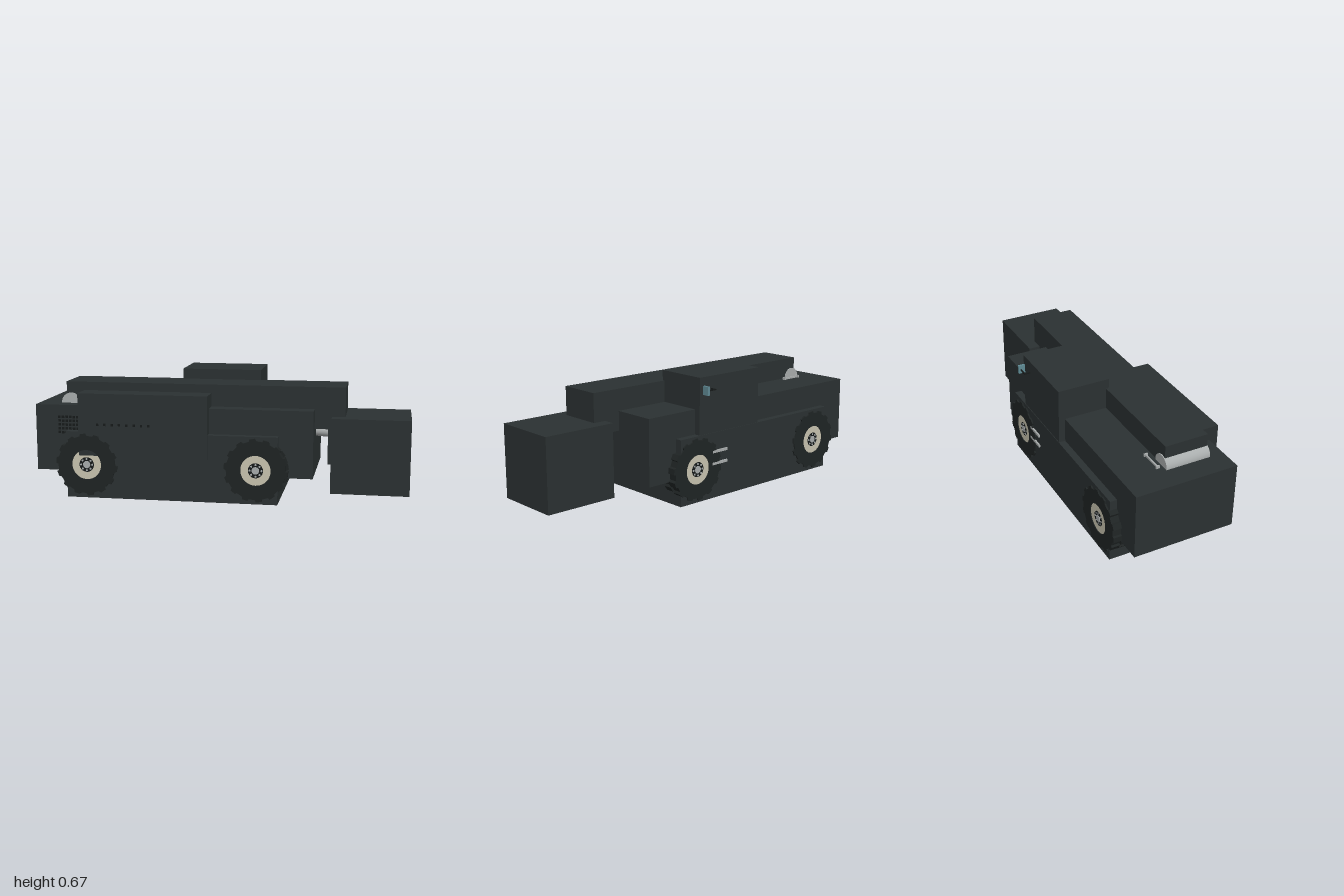
import * as THREE from 'three';

const paint = (color, extra = {}) => new THREE.MeshStandardMaterial({ color, ...extra });
const body = paint(0x2b3132);
const rubber = paint(0x1f2424, { flatShading: true });
const dark = paint(0x161a1a);
const cream = paint(0xc9c4b0);
const steel = paint(0xa9adad);
const glass = paint(0x5f8a94);

function add(parent, name, geometry, material, x = 0, y = 0, z = 0) {
  const mesh = new THREE.Mesh(geometry, material);
  mesh.name = name;
  mesh.position.set(x, y, z);
  parent.add(mesh);
  return mesh;
}

// Box given by its limits on each axis
function block(parent, name, x0, x1, y0, y1, z0, z1, material = body) {
  return add(parent, name, new THREE.BoxGeometry(x1 - x0, y1 - y0, z1 - z0), material,
    (x0 + x1) / 2, (y0 + y1) / 2, (z0 + z1) / 2);
}

// Cylinder along z, between z0 and z1
function drum(parent, name, r, z0, z1, material, x = 0, y = 0, sides = 32) {
  const geometry = new THREE.CylinderGeometry(r, r, z1 - z0, sides).rotateX(Math.PI / 2);
  return add(parent, name, geometry, material, x, y, (z0 + z1) / 2);
}

// Half of a lugged tyre, as a toothed ring
function treadGeometry(depth, turn) {
  const teeth = 14, shape = new THREE.Shape();
  for (let i = 0; i < teeth; i++) {
    [[0, 0.157], [0.45, 0.157], [0.55, 0.17], [0.95, 0.168]].forEach(([t, r], k) => {
      const a = ((i + t + turn) / teeth) * Math.PI * 2;
      shape[i + k ? 'lineTo' : 'moveTo'](Math.cos(a) * r, Math.sin(a) * r);
    });
  }
  shape.closePath();
  const hole = new THREE.Path();
  hole.absarc(0, 0, 0.08, 0, Math.PI * 2, true);
  shape.holes.push(hole);
  return new THREE.ExtrudeGeometry(shape, { depth, bevelEnabled: false, curveSegments: 24 });
}

// Wheel with its outer face at z = 0, facing +z
function makeWheel(name) {
  const wheel = new THREE.Group();
  wheel.name = name;
  add(wheel, 'outerTread', treadGeometry(0.047, 0), rubber, 0, 0, -0.047);
  add(wheel, 'innerTread', treadGeometry(0.047, 0.5), rubber, 0, 0, -0.094);
  drum(wheel, 'rim', 0.081, -0.09, -0.004, cream);
  drum(wheel, 'hubPlate', 0.04, -0.05, -0.003, dark);
  drum(wheel, 'hubCap', 0.02, -0.05, -0.001, steel);
  for (let i = 0; i < 8; i++) {
    const a = (i / 8) * Math.PI * 2;
    drum(wheel, 'wheelNut', 0.006, -0.02, -0.001, steel, Math.cos(a) * 0.031, Math.sin(a) * 0.031, 6);
  }
  return wheel;
}

export function createModel() {
  const model = new THREE.Group();
  model.name = 'lowMiningVehicle';

  // Body blocks
  block(model, 'chassis', -0.82, 0.32, 0, 0.36, -0.303, 0.335);
  block(model, 'hull', -1, 0.5, 0.137, 0.495, -0.265, 0.293);
  block(model, 'boom', -0.85, 0.66, 0.39, 0.612, -0.025, 0.213);
  block(model, 'cab', -0.25, 0.185, 0.34, 0.667, -0.3, -0.01);
  block(model, 'sideHousing', -0.75, -0.05, 0.232, 0.567, 0.2, 0.342);

  // Working head and its coupling
  block(model, 'head', 0.59, 1, 0.06, 0.457, -0.09, 0.28);
  block(model, 'headPlate', 0.57, 0.592, 0.2, 0.44, -0.03, 0.21);
  const ram = add(model, 'ram', new THREE.CylinderGeometry(0.029, 0.029, 0.16, 24), steel, 0.51, 0.36, 0.09);
  ram.rotation.z = Math.PI / 2 - 0.07;

  // Wheels, right side turned around
  for (const [end, x] of [['front', 0.205], ['rear', -0.708]]) {
    for (const [side, z, turn] of [['Left', 0.344, 0], ['Right', -0.311, Math.PI]]) {
      const wheel = makeWheel(`${end}${side}Wheel`);
      wheel.position.set(x, 0.182, z);
      wheel.rotation.y = turn;
      model.add(wheel);
    }
  }

  // Cable roller and guide rod
  drum(model, 'roller', 0.054, -0.03, 0.216, steel, -0.825, 0.497);
  block(model, 'guideRod', -0.84, -0.73, 0.496, 0.506, -0.064, -0.056, steel);
  for (const x of [-0.845, -0.73]) block(model, 'rodEnd', x - 0.004, x + 0.004, 0.49, 0.51, -0.07, -0.05, steel);

  // Grille and side vents
  for (let i = 0; i < 7; i++) {
    for (let j = 0; j < 5; j++) {
      const x = -0.875 + i * 0.02, y = 0.34 + j * 0.021;
      block(model, 'grilleCell', x, x + 0.013, y, y + 0.013, 0.285, 0.297, dark);
    }
  }
  for (let i = 0; i < 8; i++) {
    const x = -0.65 + i * 0.04;
    block(model, 'vent', x, x + 0.012, 0.395, 0.408, 0.335, 0.346, dark);
  }

  // Mirror and cab steps
  block(model, 'mirror', 0.155, 0.168, 0.576, 0.623, -0.343, -0.306, glass);
  block(model, 'mirrorArm', 0.1, 0.156, 0.596, 0.602, -0.334, -0.328, dark);
  block(model, 'mirrorBracket', 0.1, 0.107, 0.596, 0.602, -0.334, -0.295, dark);
  for (const y of [0.185, 0.25]) block(model, 'cabStep', -0.01, 0.1, y, y + 0.014, -0.312, -0.3, steel);

  return model;
}
